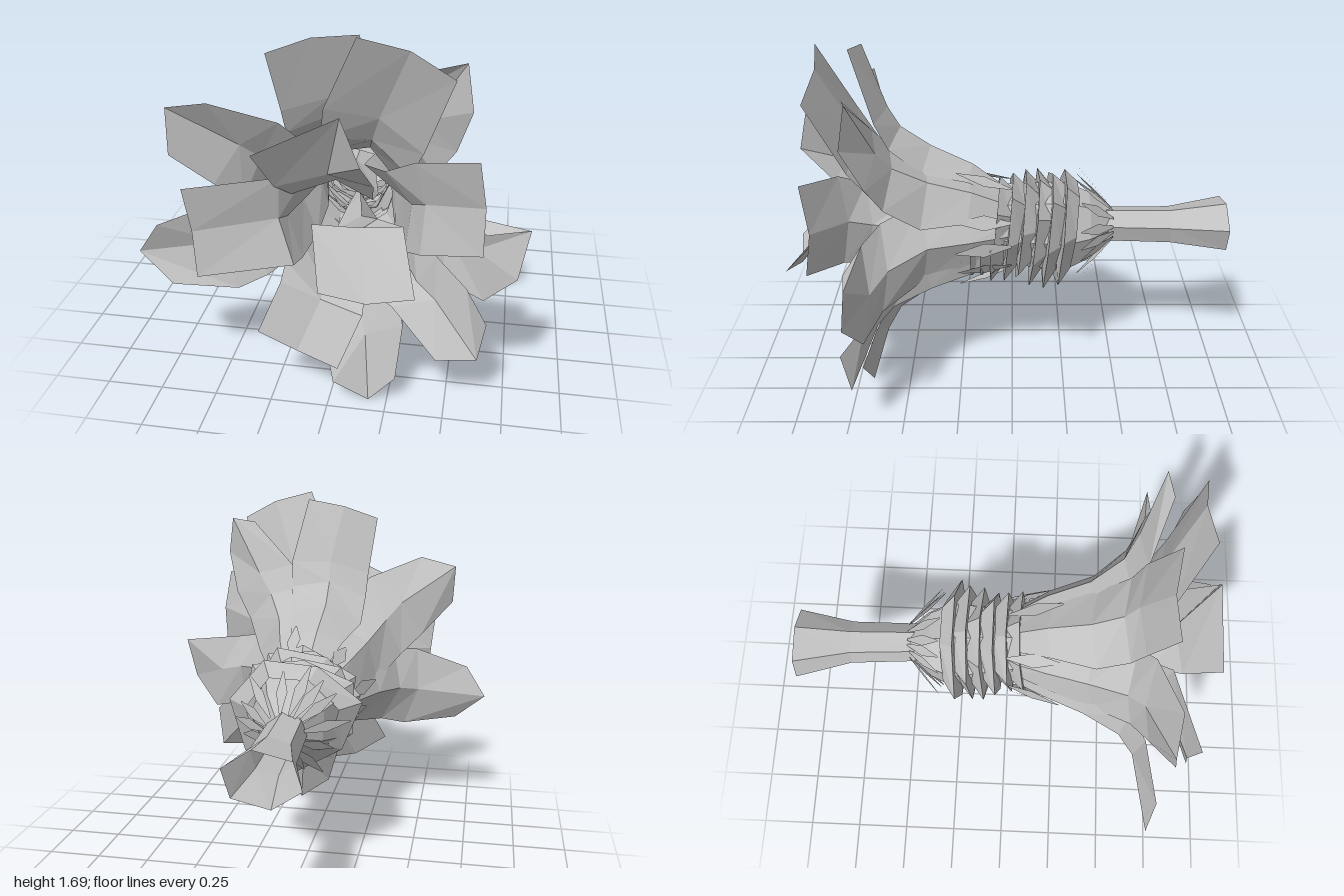
import * as THREE from 'three';

const AXIS_X = 0.02, AXIS_Y = 0.78;

export function createModel() {
  const group = new THREE.Group();
  const grey = new THREE.MeshStandardMaterial({ color: 0xc0c0c0, side: THREE.DoubleSide });
  grey.name = 'plainGrey';

  // surface through rows of points, each row having the same count
  function loft(rows, name, closed = false) {
    const n = rows[0].length, index = [];
    for (let r = 0; r < rows.length - 1; r++) {
      for (let c = 0; c < (closed ? n : n - 1); c++) {
        const a = r * n + c, b = r * n + (c + 1) % n;
        index.push(a, b, b + n, a, b + n, a + n);
      }
    }
    const g = new THREE.BufferGeometry();
    g.setAttribute('position', new THREE.Float32BufferAttribute(rows.flat(2), 3));
    g.setIndex(index);
    const flat = g.toNonIndexed();
    flat.computeVertexNormals();
    const mesh = new THREE.Mesh(flat, grey);
    mesh.name = name;
    group.add(mesh);
  }

  // closed polygon ring around the flower axis
  function ring(x, y, z, rx, ry, sides, wobble = 0, tilt = 0, turn = 0) {
    return Array.from({ length: sides }, (_, i) => {
      const a = turn + i / sides * Math.PI * 2;
      const k = 1 + wobble * Math.sin(i * 2.4 + turn * 3);
      return [x + Math.cos(a) * rx * k, y + Math.sin(a) * ry * k, z - Math.sin(a) * tilt];
    });
  }

  // petal: narrow base, curved neck, belly, broad shoulder and three-point tip, cupped along the middle
  // outline = shoulder left, tip left, tip middle, tip right, shoulder right (x, y pairs)
  function petal(name, outline, zShoulder, zTip, neckRadius, neckWidth = 0.19) {
    const p = [];
    for (let i = 0; i < 10; i += 2) p.push([outline[i], outline[i + 1]]);
    const [sl, tl, tm, tr, sr] = p;
    const mx = (sl[0] + sr[0] + tm[0] * 0.25) / 2.25, my = (sl[1] + sr[1] + tm[1] * 0.25) / 2.25;
    const d = new THREE.Vector2(tm[0] - AXIS_X, tm[1] - AXIS_Y).normalize();
    const side = new THREE.Vector2(-d.y, d.x);
    if (side.x * (sl[0] - sr[0]) + side.y * (sl[1] - sr[1]) < 0) side.negate();
    // row bent around the flower axis
    const row = (r, w, z, fold) => [1, 0, -1].map(s => {
      const R = Math.max(r, 0.2), a = s * w / R;
      const out = r - R * (1 - Math.cos(a)) + (s ? 0 : fold), across = R * Math.sin(a);
      return [AXIS_X + d.x * out + side.x * across, AXIS_Y + d.y * out + side.y * across, z - (s ? 0 : fold)];
    });
    const neck = row(neckRadius, neckWidth, 0.4, 0.03);
    const shoulder = [[...sl, zShoulder], [mx, my, zShoulder - 0.035], [...sr, zShoulder]];
    const mix = [0.5, 0.5, 0.72];
    const belly = neck.map((v, c) => v.map((q, k) => q + (shoulder[c][k] - q) * mix[k]));
    loft([
      row(Math.min(neckRadius, 0.15), 0.07, 0, 0.01),
      row(neckRadius * 0.78, neckWidth * 0.68, 0.2, 0.02),
      neck,
      belly,
      shoulder,
      [[...tl, zTip], [...tm, zTip - 0.03], [...tr, zTip]],
    ], name);
  }

  // outer petals
  petal('outerPetalLowerLeft', [-0.4, 0.49, -0.67, 0.52, -0.82, 0.65, -0.72, 0.8, -0.46, 0.9], 0.64, 0.7, 0.29, 0.2);
  petal('outerPetalUpperLeft', [-0.48, 0.98, -0.63, 1.14, -0.64, 1.33, -0.46, 1.37, -0.2, 1.27], 0.64, 0.73, 0.3, 0.2);
  petal('outerPetalTopLeft', [-0.2, 1.3, -0.23, 1.57, -0.06, 1.63, 0.13, 1.66, 0.2, 1.35], 0.59, 0.69, 0.36);
  petal('outerPetalTopRight', [0.2, 1.33, 0.42, 1.54, 0.53, 1.56, 0.56, 1.38, 0.5, 1.18], 0.6, 0.68, 0.34, 0.2);
  petal('outerPetalRight', [0.5, 0.93, 0.64, 0.87, 0.81, 0.89, 0.77, 0.68, 0.64, 0.53], 0.63, 0.69, 0.3, 0.2);
  petal('outerPetalLowerRight', [0.57, 0.58, 0.66, 0.48, 0.63, 0.28, 0.46, 0.28, 0.26, 0.46], 0.63, 0.73, 0.29, 0.2);
  petal('outerPetalBottom', [0.31, 0.37, 0.29, 0.15, 0.17, 0, 0.02, 0.1, -0.03, 0.26], 0.63, 0.71, 0.27, 0.19);

  // middle petals
  petal('middlePetalTop', [-0.01, 1.36, 0.14, 1.69, 0.33, 1.64, 0.5, 1.55, 0.38, 1.2], 0.69, 0.82, 0.28);
  petal('middlePetalRight', [0.35, 1.18, 0.6, 1.25, 0.63, 1.05, 0.63, 0.86, 0.38, 0.78], 0.73, 0.84, 0.24);
  petal('middlePetalBottomLeft', [-0.21, 0.55, -0.29, 0.36, -0.13, 0.26, 0.05, 0.21, 0.14, 0.42], 0.66, 0.76, 0.24, 0.2);

  // inner petals
  petal('innerPetalTop', [-0.19, 1.06, -0.24, 1.25, 0.09, 1.41, 0.17, 1.23, 0.2, 1.09], 0.78, 0.92, 0.16, 0.15);
  petal('innerPetalLeft', [-0.18, 1.08, -0.54, 1.06, -0.52, 0.86, -0.5, 0.67, -0.13, 0.69], 0.74, 0.86, 0.16, 0.16);
  petal('innerPetalFront', [-0.04, 0.92, 0.02, 0.73, 0.2, 0.68, 0.39, 0.74, 0.32, 0.94], 0.8, 0.99, 0.05, 0.12);

  // flared hollow stem
  loft([
    ring(-0.015, 0.77, -1, 0.165, 0.12, 6, 0, 0, 0.3),
    ring(0, 0.77, -0.74, 0.1, 0.085, 6, 0, 0, 0.3),
    ring(0.01, 0.78, -0.4, 0.09, 0.08, 6, 0, 0, 0.3),
  ], 'stem', true);

  // calyx body
  loft([
    ring(0.01, 0.78, -0.46, 0.07, 0.07, 7),
    ring(0.01, 0.78, -0.36, 0.16, 0.16, 7, 0.05),
    ring(0.01, 0.78, -0.25, 0.21, 0.21, 7, 0.05),
    ring(0.02, 0.78, 0, 0.18, 0.2, 7),
    ring(0.02, 0.79, 0.12, 0.16, 0.17, 7),
  ], 'calyxBody', true);

  // stacked scale rings, each flaring towards the blossom
  for (let i = 0; i < 6; i++) {
    const z = -0.225 + i * 0.061, turn = i * 0.62 + 0.2;
    const rx = 0.29 - i * 0.01, ry = 0.28 - i * 0.005;
    loft([
      ring(AXIS_X, AXIS_Y, z - 0.06, rx * 0.72, ry * 0.75, 7, 0.05, 0.025, turn),
      ring(AXIS_X, AXIS_Y, z, rx, ry, 7, 0.1, 0.025, turn),
      ring(AXIS_X, AXIS_Y, z + 0.005, rx * 0.62, ry * 0.62, 7, 0, 0.025, turn),
    ], 'calyxScaleRing', true);
  }

  // half-ring scales wrapped under the blossom
  for (let i = 0; i < 4; i++) {
    const z = 0.1 + i * 0.045, under = points => points.slice(0, 6);
    loft([
      under(ring(AXIS_X, AXIS_Y, z - 0.06, 0.19, 0.2, 10, 0, 0, Math.PI)),
      under(ring(AXIS_X, AXIS_Y, z, 0.25, 0.26, 10, 0.06, 0, Math.PI)),
    ], 'lowerScale');
  }

  // thin pointed bracts
  function bracts(name, count, r0, z0, r1, z1, width) {
    for (let i = 0; i < count; i++) {
      const a = (i + 0.3 * Math.sin(i * 5)) / count * Math.PI * 2;
      const k = 1 + 0.1 * Math.sin(i * 3.7);
      const at = (r, z, w) => [
        AXIS_X + Math.cos(a) * r - Math.sin(a) * w,
        AXIS_Y + Math.sin(a) * r + Math.cos(a) * w, z];
      const rm = (r0 + r1 * k) / 2, zm = (z0 + z1) / 2;
      loft([
        [at(r0, z0, -0.005), at(r0, z0, 0.005)],
        [at(rm, zm, -width), at(rm, zm, width)],
        [at(r1 * k, z1, -0.003), at(r1 * k, z1, 0.003)],
      ], name);
    }
  }
  bracts('stemBract', 14, 0.08, -0.47, 0.25, -0.31, 0.025);
  bracts('blossomBract', 9, 0.22, 0, 0.29, 0.25, 0.035);

  return group;
}
